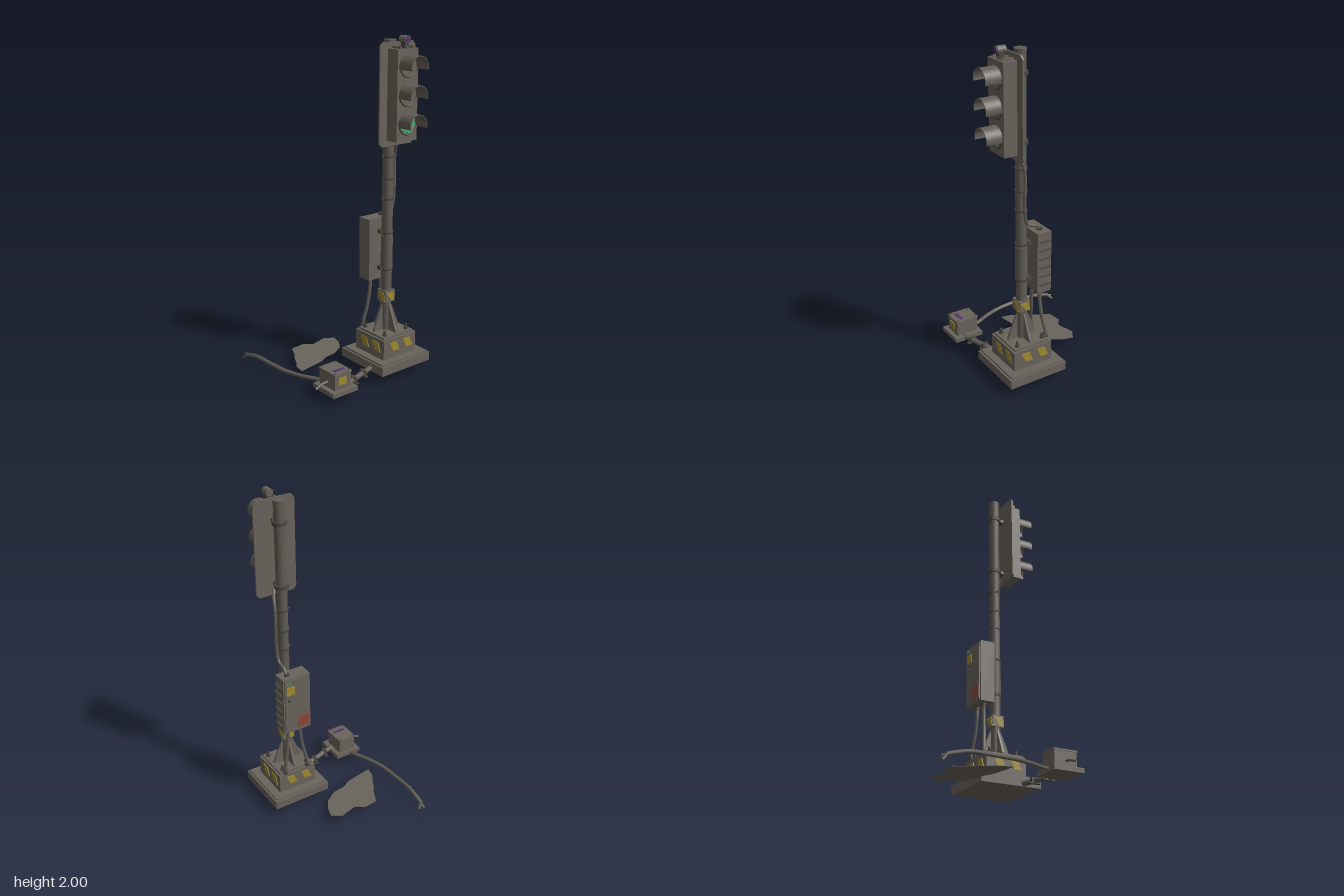
import * as THREE from 'three';
import { mergeGeometries } from 'three/addons/utils/BufferGeometryUtils.js';

const mat = (name, color, double) => {
  const m = new THREE.MeshStandardMaterial({ color });
  m.name = name;
  if (double) m.side = THREE.DoubleSide;
  return m;
};

export function createModel() {
  const M = {
    body: mat('weathered grey', 0x69635b),
    steel: mat('pole steel', 0x615c55, true),
    dark: mat('dark fittings', 0x4b4741),
    yellow: mat('hazard yellow', 0xa08a2e),
    red: mat('warning red', 0x8c4638),
    purple: mat('violet', 0x553373),
    green: mat('signal green', 0x3fc07c),
    amber: mat('unlit lamp brown', 0x8a5f4c),
  };
  const root = new THREE.Group();
  root.name = 'trafficSignal';
  const add = (name, geo, m, parent = root) => {
    const mesh = new THREE.Mesh(geo, m);
    mesh.name = name;
    parent.add(mesh);
    return mesh;
  };
  // Box from its minimum and maximum corners
  const box = (name, x0, x1, y0, y1, z0, z1, m, parent) =>
    add(name, new THREE.BoxGeometry(x1 - x0, y1 - y0, z1 - z0)
      .translate((x0 + x1) / 2, (y0 + y1) / 2, (z0 + z1) / 2), m, parent);
  const cyl = (name, r, h, x, y, z, m, axis = 'y', sides = 12) => {
    const g = new THREE.CylinderGeometry(r, r, h, sides);
    if (axis === 'x') g.rotateZ(Math.PI / 2);
    if (axis === 'z') g.rotateX(Math.PI / 2);
    return add(name, g.translate(x, y, z), m);
  };
  const tube = (name, pts, r, m, seg = 32) =>
    add(name, new THREE.TubeGeometry(new THREE.CatmullRomCurve3(
      pts.map(p => new THREE.Vector3(...p))), seg, r, 8), m);
  const shape = pts => new THREE.Shape(pts.map(p => new THREE.Vector2(...p)));
  const plate = (pts, depth) => new THREE.ExtrudeGeometry(shape(pts), { depth, bevelEnabled: false });

  const PX = 0.218, PZ = 0.188;

  // Foundation
  box('baseSlab', 0.032, 0.407, 0.053, 0.106, 0, 0.376, M.body);
  box('baseTier', 0.043, 0.396, 0.106, 0.116, 0.013, 0.363, M.body);
  box('plinth', 0.092, 0.344, 0.116, 0.238, 0.062, 0.316, M.body);
  box('polePlate', 0.104, 0.332, 0.238, 0.25, 0.074, 0.304, M.body);

  // Stripes, gussets and bolts repeated on the four sides
  for (let i = 0; i < 4; i++) {
    const side = new THREE.Group();
    side.name = 'baseSide';
    side.position.set(PX, 0, PZ);
    side.rotation.y = i * Math.PI / 2;
    root.add(side);
    for (const x of [-0.078, 0.026])
      add('plinthStripe', plate([[x, 0.216], [x + 0.025, 0.158], [x + 0.075, 0.158], [x + 0.05, 0.216]], 0.004)
        .translate(0, 0, 0.126), M.yellow, side);
    add('collarStripe', plate([[-0.032, 0.49], [0.008, 0.435], [0.034, 0.435], [0.022, 0.49]], 0.004)
      .translate(0, 0, 0.036), M.yellow, side);
    add('gusset', plate([[0.028, 0.25], [0.094, 0.25], [0.094, 0.265], [0.034, 0.41], [0.028, 0.41]], 0.012)
      .translate(0, 0, -0.006), M.body, side);
    add('anchorBolt', new THREE.CylinderGeometry(0.008, 0.008, 0.035, 8).translate(0.088, 0.265, 0.085), M.dark, side);
    add('anchorNut', new THREE.CylinderGeometry(0.014, 0.014, 0.012, 6).translate(0.088, 0.256, 0.085), M.dark, side);
  }

  // Pole, collar and bands
  cyl('pole', 0.032, 1.715, PX, 1.1075, PZ, M.steel, 'y', 16);
  cyl('poleCap', 0.035, 0.012, PX, 1.965, PZ, M.steel, 'y', 16);
  cyl('poleSleeve', 0.035, 0.2, PX, 0.74, PZ, M.steel, 'y', 16);
  box('hazardCollar', PX - 0.037, PX + 0.037, 0.43, 0.5, PZ - 0.037, PZ + 0.037, M.body);
  for (const y of [0.63, 0.855, 1.06, 1.18, 1.31]) {
    cyl('poleBand', 0.037, 0.012, PX, y, PZ, M.dark, 'y', 10);
    cyl('bandScrew', 0.005, 0.09, PX, y, PZ, M.dark, 'x', 6);
  }

  // Signal head
  const bp = [[0.106, 1.386], [0.326, 1.386], [0.346, 1.406], [0.346, 1.943],
    [0.326, 1.963], [0.106, 1.963], [0.088, 1.943], [0.088, 1.406]];
  add('backplate', plate(bp, 0.011).translate(0, 0, 0.246), M.body);
  box('signalHousing', 0.142, 0.294, 1.42, 1.93, 0.257, 0.338, M.body);
  for (const y of [1.46, 1.84]) {
    cyl('headClamp', 0.042, 0.022, PX, y, PZ, M.dark, 'y', 10);
    box('headBracket', PX - 0.022, PX + 0.022, y - 0.01, y + 0.01, PZ + 0.02, 0.25, M.dark);
  }
  for (const x of [0.172, 0.218, 0.264]) box('housingRib', x - 0.005, x + 0.005, 1.93, 1.942, 0.262, 0.33, M.body);

  // Lamps: lens, rim, hood and a spiral of small lit points
  const dots = (n, r, y) => mergeGeometries(Array.from({ length: n }, (_, i) => {
    const d = 0.052 * Math.sqrt((i + 0.5) / n), a = i * 2.39996;
    return new THREE.CircleGeometry(r, 6).translate(PX + d * Math.cos(a), y + d * Math.sin(a), 0.347);
  }));
  const hoodArc = 208 * Math.PI / 180;
  [[1.836, M.red, 24, 0.0025], [1.677, M.amber, 24, 0.0025], [1.518, M.green, 70, 0.0055]].forEach(([y, m, n, r]) => {
    cyl('lens', 0.057, 0.008, PX, y, 0.341, M.body, 'z', 24);
    add('lampPoints', dots(n, r, y), m);
    add('lensRim', new THREE.TorusGeometry(0.06, 0.005, 6, 24).translate(PX, y, 0.341), M.dark);
    for (const hr of [0.064, 0.06])
      add('lampHood', new THREE.CylinderGeometry(hr, hr, 0.098, 20, 1, true, Math.PI - hoodArc / 2, hoodArc)
        .rotateX(Math.PI / 2).translate(PX, y, 0.385), M.steel);
    add('hoodEdge', new THREE.RingGeometry(0.06, 0.064, 20, 1, Math.PI / 2 - hoodArc / 2, hoodArc)
      .translate(PX, y, 0.434), M.steel);
  });

  // Small sensor on top of the head
  box('sensorFoot', PX - 0.015, PX + 0.015, 1.93, 1.965, 0.295, 0.325, M.dark);
  cyl('sensorBody', 0.022, 0.052, PX, 1.978, 0.308, M.body, 'z');
  cyl('sensorLens', 0.017, 0.005, PX, 1.978, 0.336, M.purple, 'z');

  // Control cabinet
  box('cabinet', 0.128, 0.308, 0.556, 0.932, 0.046, 0.136, M.body);
  box('cabinetDoor', 0.136, 0.3, 0.566, 0.922, 0.039, 0.046, M.body);
  for (const y of [0.63, 0.855]) box('cabinetBracket', PX - 0.03, PX + 0.03, y - 0.012, y + 0.012, 0.13, 0.165, M.dark);
  for (let i = 0; i < 6; i++) box('louvre', 0.306, 0.322, 0.607 + i * 0.054, 0.611 + i * 0.054, 0.054, 0.126, M.dark);
  box('yellowLabel', 0.237, 0.29, 0.825, 0.882, 0.035, 0.039, M.yellow);
  box('redLabel', 0.145, 0.216, 0.585, 0.66, 0.035, 0.039, M.red);
  cyl('doorKnob', 0.008, 0.014, 0.275, 0.79, 0.034, M.dark, 'z', 8);
  [[0.246, M.purple], [0.265, M.green], [0.283, M.green]].forEach(([x, m]) =>
    cyl('indicator', 0.004, 0.006, x, 0.905, 0.037, m, 'z', 8));

  // Cables on the pole and cabinet
  tube('signalCable', [[0.235, 1.43, 0.25], [0.25, 1.39, 0.225], [0.262, 1.32, 0.195], [0.262, 1.05, 0.19],
    [0.26, 0.985, 0.172], [0.258, 0.962, 0.115], [0.258, 0.925, 0.09]], 0.01, M.steel, 40);
  cyl('cableGland', 0.016, 0.015, 0.258, 0.938, 0.09, M.dark);
  for (const s of [-1, 1]) {
    const x = PX + s * 0.042;
    tube('cabinetCable', [[x, 0.56, 0.09], [x, 0.5, 0.09], [x + s * 0.015, 0.38, 0.084],
      [x + s * 0.035, 0.28, 0.072], [x + s * 0.036, 0.235, 0.07]], 0.011, M.steel);
    cyl('cableGland', 0.016, 0.015, x, 0.549, 0.09, M.dark);
    cyl('floorGland', 0.016, 0.015, x + s * 0.036, 0.25, 0.072, M.dark);
  }

  // Junction box
  box('junctionSlab', -0.358, -0.184, 0.053, 0.08, 0.222, 0.409, M.body);
  box('junctionBox', -0.328, -0.214, 0.08, 0.168, 0.243, 0.382, M.body);
  box('junctionLid', -0.332, -0.21, 0.168, 0.178, 0.239, 0.386, M.body);
  box('lidLabel', -0.307, -0.232, 0.178, 0.181, 0.333, 0.351, M.purple);
  box('frontLabel', -0.301, -0.248, 0.108, 0.152, 0.382, 0.386, M.yellow);
  for (const x of [-0.318, -0.225]) for (const z of [0.252, 0.374])
    cyl('lidScrew', 0.005, 0.004, x, 0.18, z, M.dark, 'y', 6);

  // Ground conduits
  tube('feedConduit', [[-0.215, 0.07, 0.342], [0.04, 0.07, 0.264]], 0.016, M.steel, 2);
  for (const [x, z] of [[-0.14, 0.318], [-0.043, 0.287]]) {
    box('conduitFoot', x - 0.01, x + 0.01, 0.053, 0.06, z - 0.036, z + 0.036, M.dark);
    box('conduitStrap', x - 0.01, x + 0.01, 0.06, 0.089, z - 0.02, z + 0.02, M.dark);
    for (const s of [-1, 1]) cyl('strapScrew', 0.005, 0.006, x, 0.063, z + s * 0.029, M.dark, 'y', 6);
  }
  tube('sideCable', [[-0.325, 0.115, 0.316], [-0.365, 0.11, 0.316], [-0.409, 0.094, 0.317]], 0.007, M.steel, 10);
  tube('rearConduit', [[-0.291, 0.07, 0.25], [-0.294, 0.07, 0.205], [-0.345, 0.068, 0.09], [-0.378, 0.067, -0.02],
    [-0.39, 0.067, -0.15], [-0.396, 0.066, -0.28], [-0.396, 0.05, -0.36], [-0.396, 0.035, -0.413]], 0.012, M.steel, 48);
  // Frayed conduit end
  [[-0.403, 0.008], [-0.385, 0.03], [-0.366, 0.014]].forEach(([x, y]) =>
    tube('frayedEnd', [[-0.395, 0.036, -0.408], [(x - 0.393) / 2, (y + 0.036) / 2, -0.42], [x, y, -0.433]], 0.007, M.steel, 6));

  // Flat ground patch beside the base (x, z outline)
  const patch = [[-0.292, 0.021], [-0.278, -0.046], [-0.243, -0.099], [-0.225, -0.139], [-0.19, -0.187],
    [-0.154, -0.266], [-0.063, -0.277], [-0.01, -0.238], [0.098, -0.268], [0.158, -0.231], [0.137, -0.162],
    [0.098, -0.102], [0.02, -0.053], [-0.059, -0.042], [-0.121, -0.009]];
  add('groundPatch', plate(patch.map(([x, z]) => [x, -z]), 0.003).rotateX(-Math.PI / 2).translate(0, 0.053, 0), M.body);

  return root;
}
